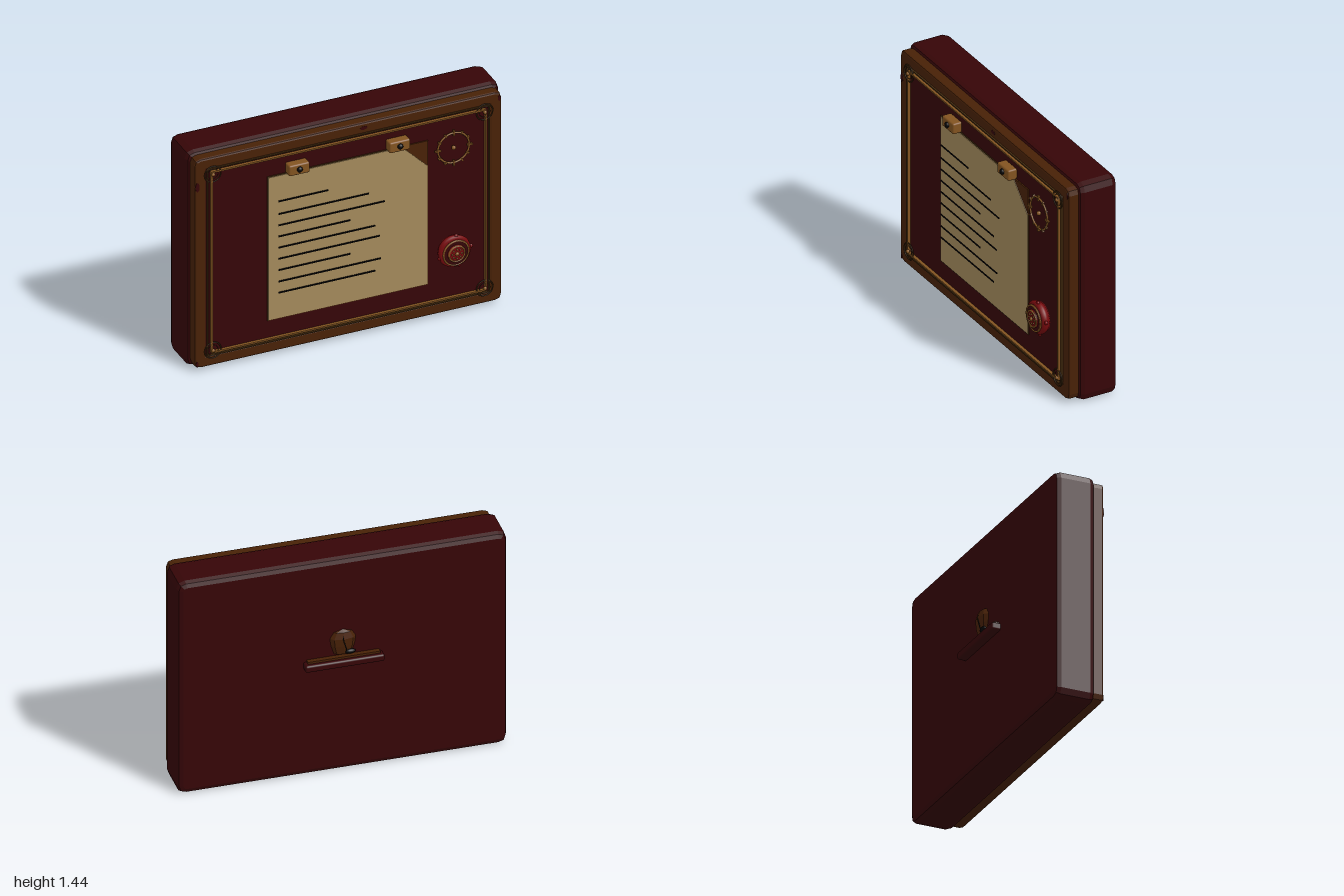
import * as THREE from 'three';
import { RoundedBoxGeometry } from 'three/addons/geometries/RoundedBoxGeometry.js';

const mat = (name, color) => {
  const m = new THREE.MeshStandardMaterial({ color });
  m.name = name;
  return m;
};

// rectangle outline with softened corners
function roundRect(target, w, h, r, cy) {
  const x = w / 2, y = h / 2;
  target.moveTo(-x + r, cy - y);
  target.lineTo(x - r, cy - y);
  target.quadraticCurveTo(x, cy - y, x, cy - y + r);
  target.lineTo(x, cy + y - r);
  target.quadraticCurveTo(x, cy + y, x - r, cy + y);
  target.lineTo(-x + r, cy + y);
  target.quadraticCurveTo(-x, cy + y, -x, cy + y - r);
  target.lineTo(-x, cy - y + r);
  target.quadraticCurveTo(-x, cy - y, -x + r, cy - y);
  return target;
}

// bevelled slab; a border width turns it into a rectangular ring
function slab(w, h, depth, r, cy, bevel, width = 0) {
  const s = roundRect(new THREE.Shape(), w - 2 * bevel, h - 2 * bevel, r, cy);
  const inner = width - bevel;
  if (width) s.holes.push(roundRect(new THREE.Path(), w - 2 * inner, h - 2 * inner, r * 0.3, cy));
  return new THREE.ExtrudeGeometry(s, {
    depth: depth - 2 * bevel, curveSegments: 2, bevelEnabled: bevel > 0,
    bevelThickness: bevel, bevelSize: bevel, bevelSegments: 2,
  }).translate(0, 0, bevel);
}

export function createModel() {
  const model = new THREE.Group();
  const burgundy = mat('burgundy leather', 0x360507);
  const brown = mat('brown wood', 0x482106);
  const brass = mat('aged brass', 0x825320);
  const dim = mat('dark bronze', 0x452c10);
  const parchment = mat('parchment', 0xa48a5c);
  const red = mat('red wax', 0x760a0d);
  const black = mat('black ink', 0x040303);

  const add = (name, geo, material, x = 0, y = 0, z = 0, parent = model) => {
    const m = new THREE.Mesh(geo, material);
    m.name = name;
    m.position.set(x, y, z);
    parent.add(m);
    return m;
  };
  const disc = (r1, r2, h, n = 24) =>
    new THREE.CylinderGeometry(r1, r2, h, n).rotateX(Math.PI / 2);
  const dome = (r, flat = 0.6) => new THREE.SphereGeometry(r, 12, 8).scale(1, 1, flat);

  // Case, frame and inset panel
  const CY = 0.722;
  add('case', slab(2, 1.444, 0.255, 0.022, CY, 0.034), burgundy, 0, 0, -0.17);
  add('frame', slab(1.96, 1.4, 0.075, 0.03, CY, 0.012, 0.075), brown, 0, 0, 0.073);
  add('panel', new THREE.BoxGeometry(1.82, 1.27, 0.07), burgundy, 0, CY, 0.107);
  add('outerTrim', slab(1.806, 1.26, 0.016, 0.01, CY, 0, 0.007), dim, 0, 0, 0.14);
  add('innerTrim', slab(1.762, 1.222, 0.022, 0.01, CY, 0, 0.01), brass, 0, 0, 0.14);

  // Worn patches on the frame
  [[0.1, 1.387, 0.024, 0.012], [-0.962, 1.24, 0.014, 0.032], [-0.964, 0.05, 0.008, 0.02],
    [0.964, 1.38, 0.008, 0.02]].forEach(([x, y, sx, sy]) =>
    add('wornPatch', disc(1, 1, 0.005, 7).scale(sx, sy, 1), burgundy, x, y, 0.147));

  // Corner rosettes
  for (const sx of [-1, 1]) for (const sy of [-1, 1]) {
    const g = new THREE.Group();
    g.name = 'cornerRosette';
    g.position.set(sx * 0.868, CY + sy * 0.592, 0.153);
    add('rosetteRing', new THREE.TorusGeometry(0.052, 0.004, 6, 24), dim, 0, 0, 0.004, g);
    add('rosetteInnerRing', new THREE.TorusGeometry(0.034, 0.002, 6, 20), dim, 0, 0, 0.004, g);
    add('rosetteStud', dome(0.012, 1), brass, 0, 0, 0.01, g);
    model.add(g);
  }

  // Parchment sheet with a cut corner on a slightly larger backing
  const sheet = (grow) => {
    const s = new THREE.Shape();
    s.moveTo(-0.51 - grow, 0.241 - grow);
    s.lineTo(0.504 + grow, 0.241 - grow);
    s.lineTo(0.504 + grow, 1.036);
    s.lineTo(0.342, 1.198 + grow);
    s.lineTo(-0.51 - grow, 1.198 + grow);
    return s;
  };
  const plate = (s, depth) => new THREE.ExtrudeGeometry(s, { depth, bevelEnabled: false });
  add('sheetBacking', plate(sheet(0.006), 0.007), dim, 0, 0, 0.14);
  add('sheet', plate(sheet(0), 0.009), parchment, 0, 0, 0.142);
  const fold = new THREE.Shape();
  fold.moveTo(0.342, 1.203);
  fold.lineTo(0.51, 1.036);
  fold.lineTo(0.51, 1.203);
  add('foldedCorner', plate(fold, 0.009), brown, 0, 0, 0.141);

  // Ruled ink strokes: [height, right end]
  [[1.041, -0.14], [0.956, 0.12], [0.88, 0.22], [0.805, 0], [0.73, 0.16], [0.655, 0.19],
    [0.579, 0], [0.502, 0.195], [0.427, 0.16]].forEach(([y, end]) =>
    add('inkStroke', new THREE.BoxGeometry(end + 0.458, 0.009, 0.004), black,
      (end - 0.458) / 2, y, 0.177));

  // Clips holding the sheet
  for (const x of [-0.335, 0.307]) {
    add('clip', new RoundedBoxGeometry(0.132, 0.07, 0.062, 2, 0.01), brass, x, 1.241, 0.173);
    add('clipStud', dome(0.018, 0.9), black, x, 1.243, 0.206);
  }

  // Dial: thin ring with tick marks
  const dial = new THREE.Group();
  dial.name = 'dial';
  dial.position.set(0.665, 1.128, 0.163);
  add('dialRing', new THREE.TorusGeometry(0.1, 0.007, 6, 36), brass, 0, 0, 0.004, dial);
  for (let i = 0; i < 12; i++) {
    const a = (i * Math.PI) / 6, r = i % 3 ? 0.104 : 0.101;
    const tick = add('dialTick', new THREE.BoxGeometry(i % 3 ? 0.02 : 0.036, 0.01, 0.014),
      brass, Math.cos(a) * r, Math.sin(a) * r, 0.006, dial);
    tick.rotation.z = a;
  }
  add('dialStud', dome(0.014, 1), brass, 0, 0, 0.004, dial);
  model.add(dial);

  // Wax seal with rounded rim, small drips and stepped rings
  const seal = new THREE.Group();
  seal.name = 'seal';
  seal.position.set(0.665, 0.438, 0.15);
  const rim = [[0, -0.008], [0.09, -0.008], [0.1, 0.012], [0.104, 0.024], [0.1, 0.038],
    [0.09, 0.046], [0, 0.047]].map((p) => new THREE.Vector2(...p));
  add('wax', new THREE.LatheGeometry(rim, 40).rotateX(Math.PI / 2), red, 0, 0, 0, seal);
  for (const [x, y] of [[0.104, 0.012], [-0.094, -0.03], [0.01, 0.1], [0.03, -0.098]])
    add('waxDrip', dome(0.013, 0.8), red, x, y, 0.028, seal);
  add('sealStep', disc(0.08, 0.084, 0.01, 32), burgundy, 0, 0, 0.049, seal);
  add('sealOuterRing', new THREE.TorusGeometry(0.08, 0.006, 6, 36), brass, 0, 0, 0.052, seal);
  add('sealCore', disc(0.052, 0.056, 0.012, 28), red, 0, 0, 0.059, seal);
  add('sealInnerRing', new THREE.TorusGeometry(0.05, 0.006, 6, 28), brass, 0, 0, 0.064, seal);
  for (let i = 0; i < 8; i++) {
    const a = (i * Math.PI) / 4;
    add('sealBead', dome(0.006, 1), brass, Math.cos(a) * 0.03, Math.sin(a) * 0.03, 0.066, seal);
  }
  add('sealStud', dome(0.013, 0.8), brass, 0, 0, 0.067, seal);
  model.add(seal);

  // Ledge on the back, with a wooden strip on top
  add('backLedge', new RoundedBoxGeometry(0.48, 0.045, 0.065, 2, 0.012), burgundy, 0, 0.753, -0.1925);
  add('ledgeStrip', new THREE.BoxGeometry(0.44, 0.018, 0.03), brown, 0, 0.78, -0.185);

  // Faceted emblem above the ledge, split by a groove
  const emblem = new THREE.LatheGeometry([[0, -0.085], [0.05, -0.075], [0.066, -0.02],
    [0.072, 0.03], [0.05, 0.07], [0, 0.085]].map((p) => new THREE.Vector2(...p)), 8)
    .scale(1.12, 1, 0.46).toNonIndexed();
  emblem.computeVertexNormals();
  add('backEmblem', emblem, brown, 0, 0.877, -0.168);
  const groove = new THREE.CatmullRomCurve3([[-0.02, 0.8, -0.188], [-0.012, 0.85, -0.198],
    [0.004, 0.905, -0.2], [0.004, 0.95, -0.183]].map((p) => new THREE.Vector3(...p)));
  add('emblemGroove', new THREE.TubeGeometry(groove, 12, 0.003, 5), black);
  add('emblemStud', new THREE.SphereGeometry(0.022, 10, 8).scale(1.5, 0.7, 0.7), black,
    -0.04, 0.815, -0.188);

  return model;
}
